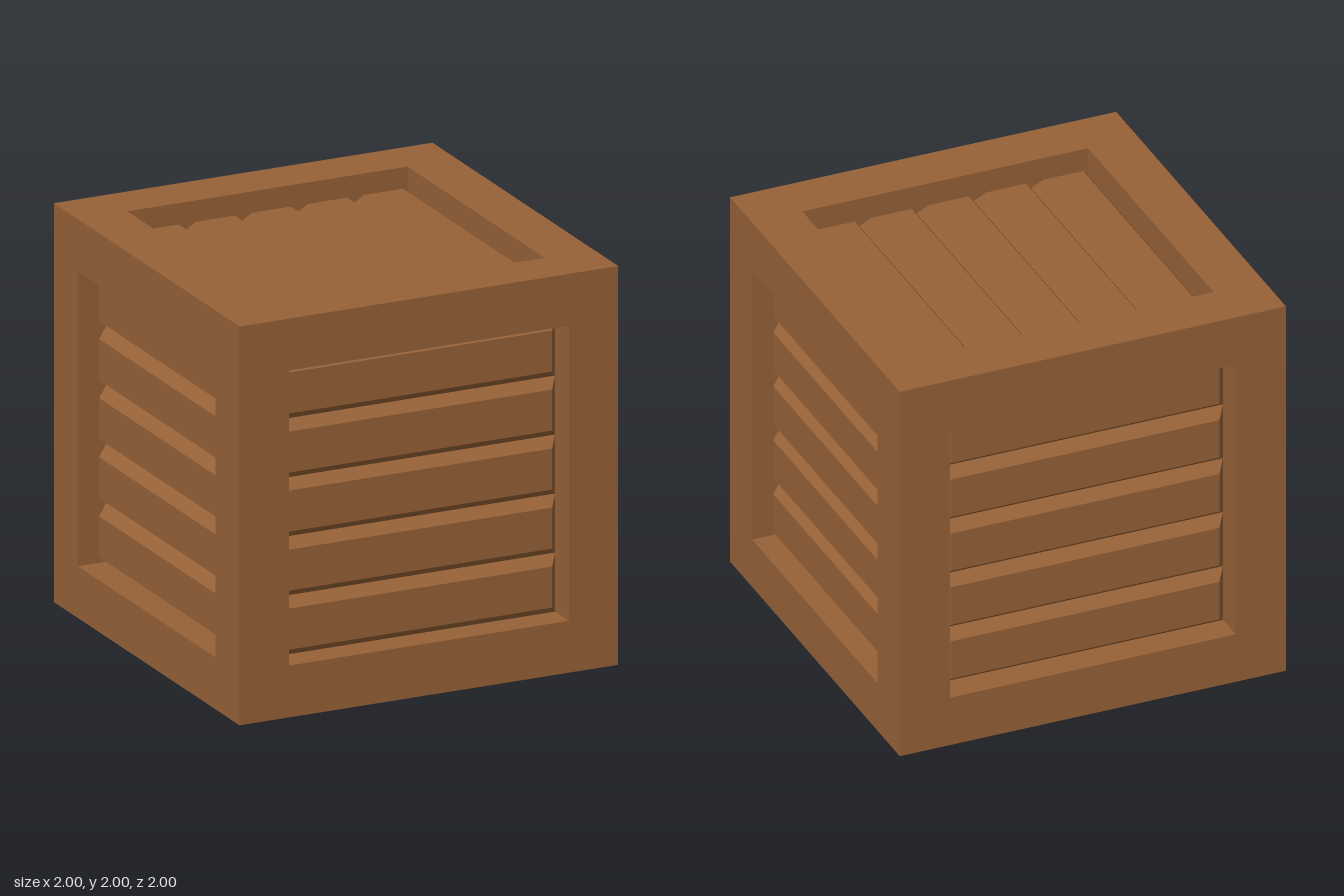
import * as THREE from 'three';

const HALF = 1;          // half the crate's edge
const OPEN = 0.74;       // half the opening in each side
const DEPTH = 0.15;      // recess from frame face to plank base
const PLANKS = 5;
const THICK = 0.06;      // plank height above its base
const CHAMFER = 0.045;

function square(PathClass, r) {
  return new PathClass([[-r, -r], [r, -r], [r, r], [-r, r]].map(([x, y]) => new THREE.Vector2(x, y)));
}

// Move every vertex by a rule, then give the faces flat normals
function reshape(geometry, rule) {
  const flat = geometry.index ? geometry.toNonIndexed() : geometry;
  const pos = flat.attributes.position;
  const v = new THREE.Vector3();
  for (let i = 0; i < pos.count; i++) {
    rule(v.fromBufferAttribute(pos, i));
    pos.setXYZ(i, v.x, v.y, v.z);
  }
  flat.computeVertexNormals();
  return flat;
}

// Square frame with an opening, its outer edges mitred to meet the neighbouring frames
function frameGeometry() {
  const shape = square(THREE.Shape, HALF);
  shape.holes.push(square(THREE.Path, OPEN));
  const geometry = new THREE.ExtrudeGeometry(shape, { depth: DEPTH, bevelEnabled: false });
  return reshape(geometry, (v) => {
    if (v.z < DEPTH / 2 && Math.abs(v.x) > OPEN + 0.1) {
      v.x -= Math.sign(v.x) * DEPTH;
      v.y -= Math.sign(v.y) * DEPTH;
    }
    v.z += HALF - DEPTH;
  });
}

// Plank with its four front edges chamfered
function plankGeometry(width, height) {
  return reshape(new THREE.BoxGeometry(width, height, THICK), (v) => {
    if (v.z > 0) {
      v.x -= Math.sign(v.x) * CHAMFER;
      v.y -= Math.sign(v.y) * CHAMFER;
    }
  });
}

export function createModel() {
  const wood = new THREE.MeshStandardMaterial({ color: 0x966137, flatShading: true });
  const pitch = (2 * OPEN) / PLANKS;
  const frame = frameGeometry();
  const plank = plankGeometry(2 * OPEN, pitch);

  const crate = new THREE.Group();
  crate.name = 'crate';

  // Six equal sides; planks lie level on the walls and run front to back on top and bottom
  const q = Math.PI / 2;
  const sides = {
    front: [0, 0, 0],
    back: [0, 2 * q, 0],
    left: [0, q, 0],
    right: [0, -q, 0],
    top: [-q, 0, q],
    bottom: [q, 0, q],
  };
  for (const [name, angles] of Object.entries(sides)) {
    const side = new THREE.Group();
    side.name = name + 'Side';
    side.rotation.set(...angles);
    side.position.y = HALF;

    const frameMesh = new THREE.Mesh(frame, wood);
    frameMesh.name = name + 'Frame';
    side.add(frameMesh);

    for (let i = 0; i < PLANKS; i++) {
      const mesh = new THREE.Mesh(plank, wood);
      mesh.name = name + 'Plank' + (i + 1);
      mesh.position.set(0, (i - (PLANKS - 1) / 2) * pitch, HALF - DEPTH + THICK / 2);
      side.add(mesh);
    }
    crate.add(side);
  }
  return crate;
}
